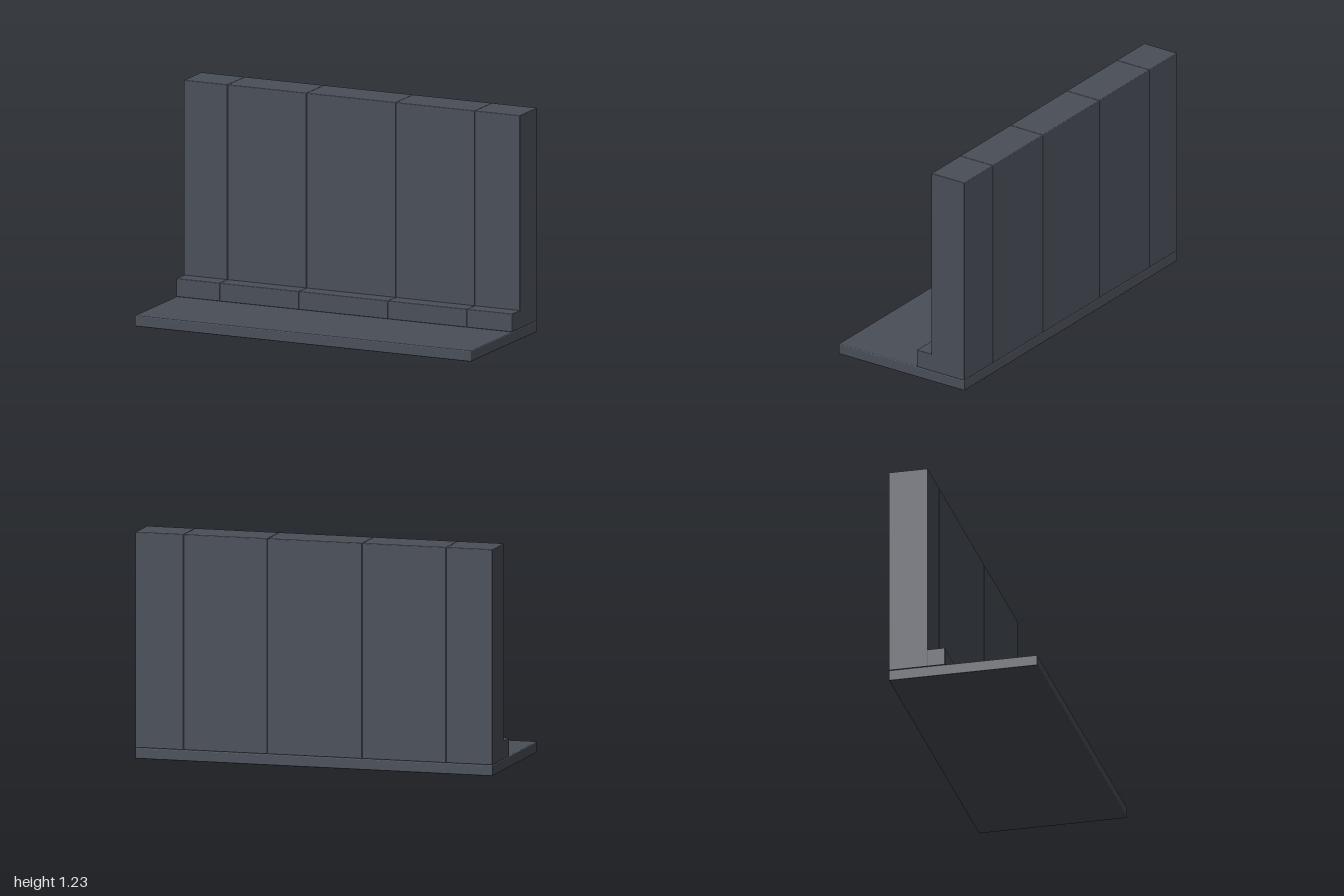
import * as THREE from 'three';
import { RoundedBoxGeometry } from 'three/addons/geometries/RoundedBoxGeometry.js';

export function createModel() {
  const model = new THREE.Group();
  model.name = 'barrierWall';
  const concrete = new THREE.MeshStandardMaterial({ color: 0x4a4f58 });
  concrete.name = 'dark slate concrete';

  // Softly bevelled block given by its limits on each axis
  function block(name, [x0, x1], [y0, y1], [z0, z1], radius = 0.004) {
    const geometry = new RoundedBoxGeometry(x1 - x0, y1 - y0, z1 - z0, 2, radius);
    const mesh = new THREE.Mesh(geometry, concrete);
    mesh.name = name;
    mesh.position.set((x0 + x1) / 2, (y0 + y1) / 2, (z0 + z1) / 2);
    model.add(mesh);
  }

  // Flat footing slab
  block('footing', [-1, 1], [0, 0.06], [-0.41, 0.41], 0.005);

  // Upright wall panels and the kerb in front, meeting at fine vertical seams
  const seams = [-1, -0.74, -0.27, 0.26, 0.73, 1];
  for (let i = 0; i < seams.length - 1; i++) {
    const span = [seams[i], seams[i + 1]];
    block('wallPanel' + (i + 1), span, [0.06, 1.23], [-0.41, -0.195]);
    block('kerb' + (i + 1), span, [0.06, 0.16], [-0.2, -0.1]);
  }
  return model;
}
